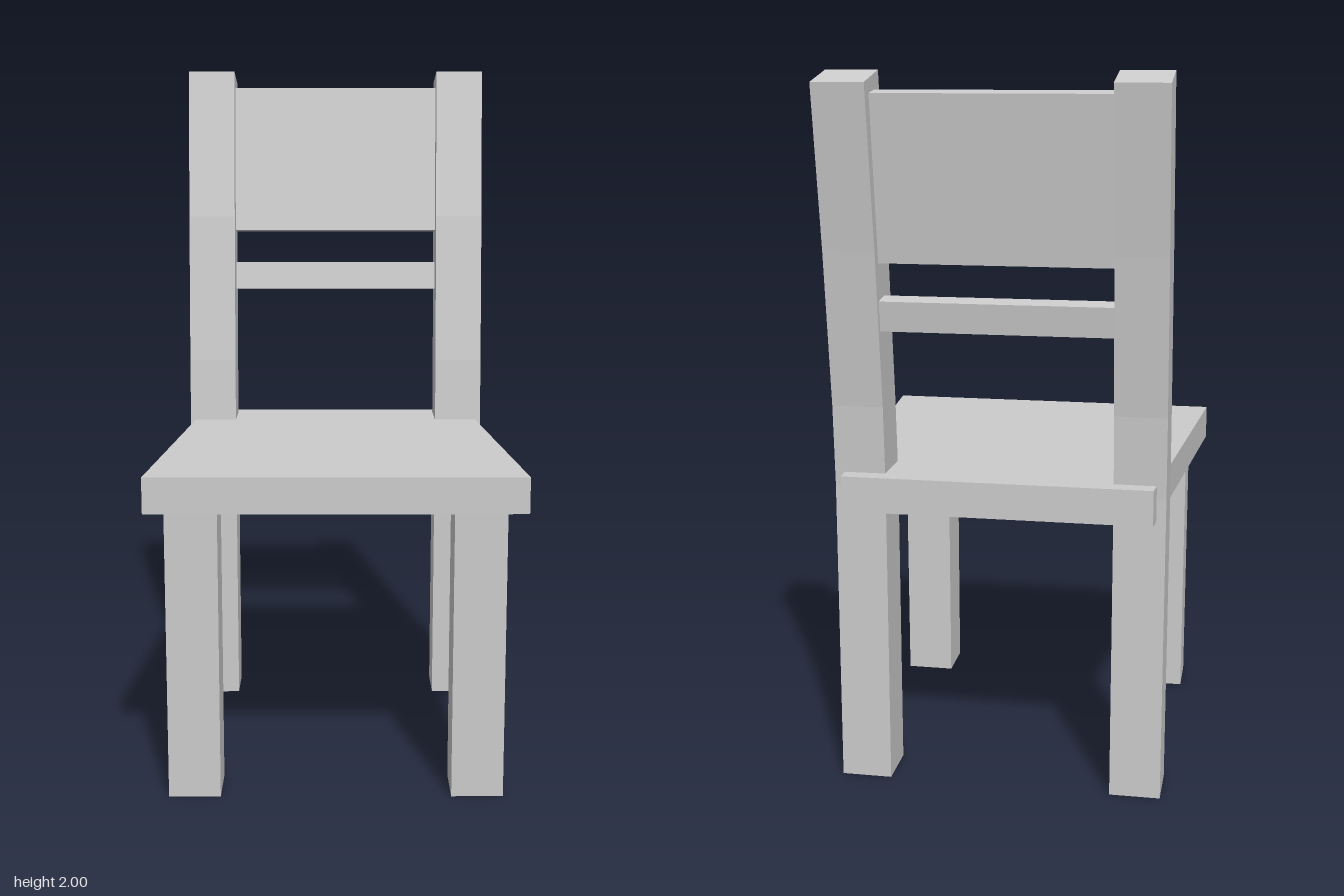
import * as THREE from 'three';

const material = new THREE.MeshStandardMaterial({ color: 0xcccccc, flatShading: true });

function addMesh(group, name, geometry) {
  const mesh = new THREE.Mesh(geometry, material);
  mesh.name = name;
  group.add(mesh);
  return mesh;
}

// Side profile of [z, y] points, swept across x and centred on x = 0
function sideProfile(points, width) {
  const shape = new THREE.Shape(points.map(([z, y]) => new THREE.Vector2(z, y)));
  const geometry = new THREE.ExtrudeGeometry(shape, { depth: width, bevelEnabled: false });
  return geometry.rotateY(-Math.PI / 2).translate(width / 2, 0, 0);
}

export function createModel() {
  const chair = new THREE.Group();
  chair.name = 'chair';

  // Seat: a slab that narrows towards the back
  const seatShape = new THREE.Shape([
    new THREE.Vector2(-0.515, -0.55), new THREE.Vector2(0.515, -0.55),
    new THREE.Vector2(0.43, 0.477), new THREE.Vector2(-0.43, 0.477),
  ]);
  const seat = new THREE.ExtrudeGeometry(seatShape, { depth: 0.1, bevelEnabled: false });
  addMesh(chair, 'seat', seat.rotateX(-Math.PI / 2).translate(0, 0.81, 0));

  // Back posts: leg and backrest upright in one curved piece
  const postProfile = [
    [-0.291, 0], [-0.285, 0.85], [-0.302, 1.1], [-0.349, 1.55], [-0.413, 2],
    [-0.552, 1.97], [-0.487, 1.53], [-0.438, 1.1], [-0.426, 0.87], [-0.434, 0],
  ];
  for (const [side, s] of [['left', 1], ['right', -1]]) {
    addMesh(chair, side + 'BackPost', sideProfile(postProfile, 0.143)).position.x = s * 0.389;
    addMesh(chair, side + 'FrontLeg', new THREE.BoxGeometry(0.143, 0.81, 0.143))
      .position.set(s * 0.39, 0.405, 0.447);
  }

  // Tilted boards between the posts
  const board = (y0, y1, z0, z1) => sideProfile(
    [[z0, y0], [z1, y1], [z1 - 0.058, y1 - 0.008], [z0 - 0.058, y0 - 0.008]], 0.636);
  addMesh(chair, 'backPanel', board(1.505, 1.95, -0.394, -0.452));
  addMesh(chair, 'backRail', board(1.32, 1.403, -0.388, -0.399));

  return chair;
}
